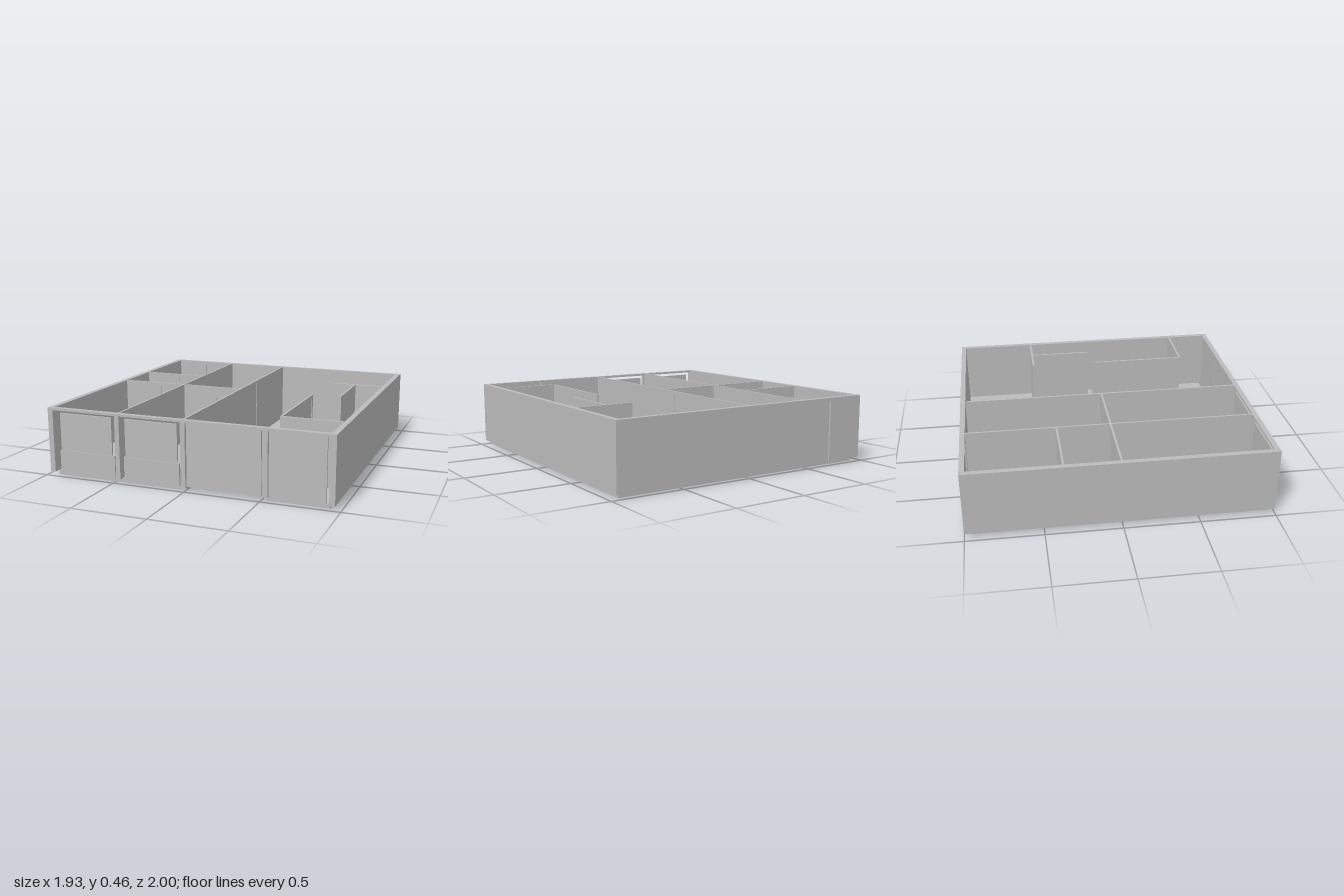
import * as THREE from 'three';

const FLOOR = 0.03, TOP = 0.462, HEAD = 0.44;

export function createModel() {
  const model = new THREE.Group();
  model.name = 'floorPlanHouse';
  const plaster = new THREE.MeshStandardMaterial({ color: 0xbbbbbb });
  plaster.name = 'grey plaster';

  // Box given by its limits on each axis
  function block(parent, name, x0, x1, y0, y1, z0, z1) {
    const mesh = new THREE.Mesh(new THREE.BoxGeometry(x1 - x0, y1 - y0, z1 - z0), plaster);
    mesh.position.set((x0 + x1) / 2, (y0 + y1) / 2, (z0 + z1) / 2);
    mesh.name = name;
    parent.add(mesh);
  }

  // Straight wall from a to b along an axis, c0..c1 thick, with door openings [start, end]
  function wall(name, axis, a, b, c0, c1, doors = []) {
    const group = new THREE.Group();
    group.name = name;
    const part = (label, s, e, y0, y1, t0, t1) => axis === 'x'
      ? block(group, label, s, e, y0, y1, t0, t1)
      : block(group, label, t0, t1, y0, y1, s, e);
    let at = a;
    for (const [s, e] of doors) {
      if (s > at) part('wallSection', at, s, FLOOR, TOP, c0, c1);
      part('lintel', s, e, HEAD, TOP, c0, c1);
      const inset = (c1 - c0) * 0.3;
      part('doorLeaf', s, e, FLOOR, HEAD, c0 + inset, c1 - inset);
      at = e;
    }
    if (b > at) part('wallSection', at, b, FLOOR, TOP, c0, c1);
    model.add(group);
  }

  // Floor slab with the porch cut out of its front edge
  const slab = new THREE.Shape([
    [-0.93, -0.96], [0, -0.96], [0, -0.68], [0.53, -0.68],
    [0.53, -0.96], [0.93, -0.96], [0.93, 0.96], [-0.93, 0.96],
  ].map(([x, y]) => new THREE.Vector2(x, y)));
  const floorGeometry = new THREE.ExtrudeGeometry(slab, { depth: FLOOR, bevelEnabled: false });
  floorGeometry.rotateX(-Math.PI / 2);
  const floor = new THREE.Mesh(floorGeometry, plaster);
  floor.name = 'floorSlab';
  model.add(floor);

  // Outer walls
  wall('rightOuterWall', 'z', -1, 1, -0.966, -0.93);
  wall('leftOuterWall', 'z', -1, 1, 0.93, 0.966);
  wall('backOuterWall', 'x', -0.93, 0.93, -1, -0.966, [[-0.69, -0.51]]);

  // Front wall: header and posts around four bays
  const front = new THREE.Group();
  front.name = 'frontWall';
  model.add(front);
  block(front, 'header', -0.93, 0.93, 0.446, TOP, 0.966, 1);
  for (const [x0, x1] of [[-0.945, -0.937], [-0.476, -0.445], [-0.02, 0.012], [0.515, 0.55]])
    block(front, 'post', x0, x1, FLOOR, 0.446, 0.966, 1);

  // Window bays: wide sill panel with a narrower pane above
  for (const [s0, s1, p0, p1] of [[-0.895, -0.49, -0.887, -0.51], [-0.424, -0.036, -0.414, -0.05]]) {
    block(front, 'sillPanel', s0, s1, FLOOR, 0.178, 0.968, 0.985);
    block(front, 'windowPane', p0, p1, 0.178, 0.427, 0.968, 0.98);
  }
  // Full-height bay panels
  block(front, 'porchPanel', 0.012, 0.502, FLOOR, 0.446, 0.968, 0.98);
  block(front, 'sidePanel', 0.55, 0.908, FLOOR, 0.446, 0.968, 0.98);

  // Partitions running front to back
  wall('rightPartition', 'z', -0.966, 0.966, -0.465, -0.452);
  wall('middlePartition', 'z', -0.966, 0.966, -0.014, 0, [[-0.33, -0.15]]);
  wall('hallPartition', 'z', 0, 0.685, 0.522, 0.536, [[0.02, 0.2]]);
  wall('closetPartition', 'z', -0.445, -0.015, 0.72, 0.734);

  // Partitions running side to side
  wall('bedroomCrossWall', 'x', -0.93, -0.465, -0.376, -0.362, [[-0.66, -0.49]]);
  wall('rightCrossWall', 'x', -0.93, -0.465, -0.015, 0, [[-0.64, -0.48]]);
  wall('middleCrossWall', 'x', -0.452, -0.014, -0.015, 0, [[-0.19, -0.03]]);
  wall('closetCrossWall', 'x', 0.53, 0.93, -0.461, -0.445);
  wall('porchCrossWall', 'x', 0.536, 0.93, 0.676, 0.692);

  return model;
}
